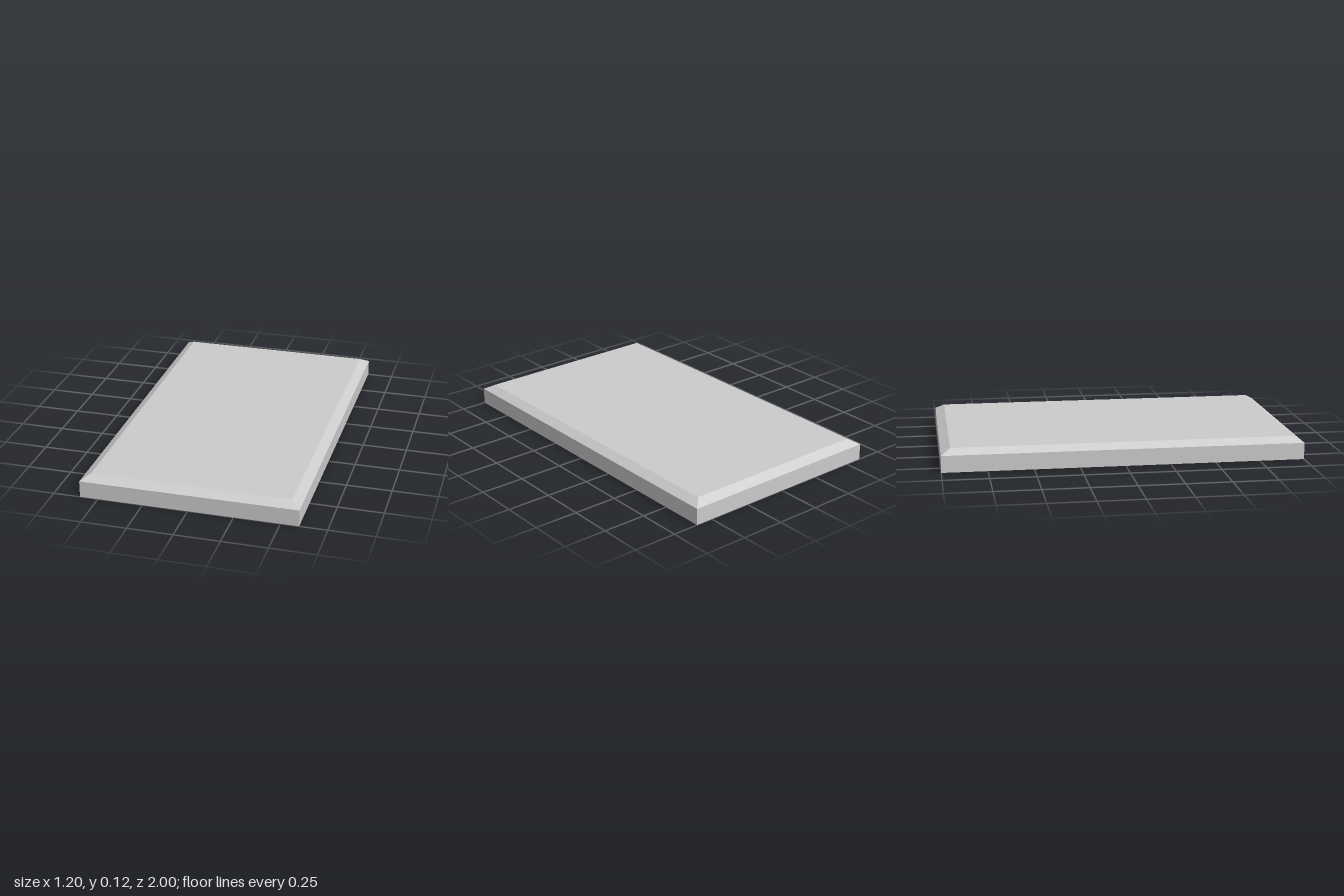
import * as THREE from 'three';

// Open-bottomed shell: rectangular rings [halfX, y, halfZ] joined upward, closed by the last ring
function bevelledShell(rings) {
  const corners = [[1, 1], [1, -1], [-1, -1], [-1, 1]];
  const loops = rings.map(([hx, y, hz]) => corners.map(([sx, sz]) => [sx * hx, y, sz * hz]));
  const positions = [];
  const quad = (a, b, c, d) => positions.push(...a, ...b, ...c, ...a, ...c, ...d);
  for (let r = 0; r < loops.length - 1; r++) {
    const low = loops[r], high = loops[r + 1];
    for (let i = 0; i < 4; i++) {
      const j = (i + 1) % 4;
      quad(low[i], low[j], high[j], high[i]);
    }
  }
  quad(...loops[loops.length - 1]);
  const geometry = new THREE.BufferGeometry();
  geometry.setAttribute('position', new THREE.Float32BufferAttribute(positions, 3));
  geometry.computeVertexNormals();
  return geometry;
}

export function createModel() {
  const group = new THREE.Group();
  group.name = 'bevelledPanel';
  const shellMaterial = new THREE.MeshStandardMaterial({
    color: 0xcccccc, flatShading: true, side: THREE.DoubleSide,
  });
  const stripMaterial = new THREE.MeshStandardMaterial({ color: 0xcccccc });

  // Thin shell: upright walls, sloping edge and flat top
  const top = 0.123;
  const shell = new THREE.Mesh(
    bevelledShell([[0.6, 0, 1], [0.6, 0.093, 1], [0.55, top, 0.948]]), shellMaterial);
  shell.name = 'panelShell';
  group.add(shell);

  // Long flat strips lying on the top near each side
  const stripGeometry = new THREE.PlaneGeometry(0.082, 1.785).rotateX(-Math.PI / 2);
  for (const [name, x] of [['leftStrip', 0.461], ['rightStrip', -0.466]]) {
    const strip = new THREE.Mesh(stripGeometry, stripMaterial);
    strip.name = name;
    strip.position.set(x, top + 0.0008, -0.008);
    group.add(strip);
  }
  return group;
}
